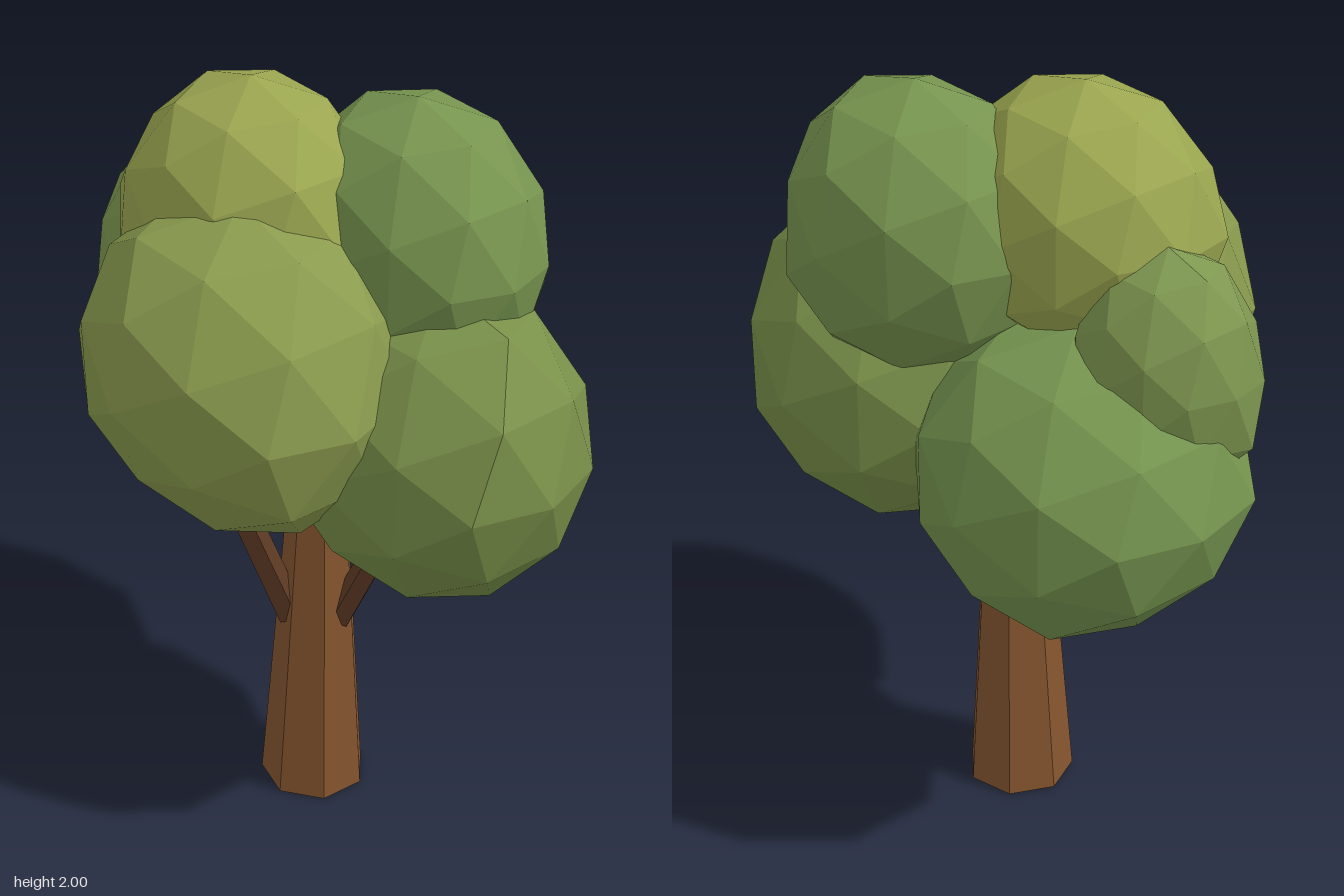
import * as THREE from 'three';

const UP = new THREE.Vector3(0, 1, 0);

function mat(color) {
  return new THREE.MeshStandardMaterial({ color, flatShading: true });
}

// Tapered, faceted limb running from one point to another
function limb(name, from, to, r0, r1, sides, material) {
  const a = new THREE.Vector3(...from);
  const dir = new THREE.Vector3(...to).sub(a);
  const length = dir.length();
  const geo = new THREE.CylinderGeometry(r1, r0, length, sides, 1, false, 0.2);
  geo.translate(0, length / 2, 0);
  const mesh = new THREE.Mesh(geo, material);
  mesh.quaternion.setFromUnitVectors(UP, dir.normalize());
  mesh.position.copy(a);
  mesh.name = name;
  return mesh;
}

// Faceted clump of leaves; each bulge [x, y, z, amount] pushes one side out or in
function clump(name, centre, radii, color, bulges) {
  const geo = new THREE.IcosahedronGeometry(1, 1);
  const pos = geo.attributes.position;
  const size = new THREE.Vector3(...radii);
  for (let i = 0; i < pos.count; i++) {
    const unit = new THREE.Vector3().fromBufferAttribute(pos, i);
    const p = unit.clone().multiply(size);
    for (const [x, y, z, amount] of bulges) {
      const dir = new THREE.Vector3(x, y, z).normalize();
      p.addScaledVector(dir, amount * Math.max(0, unit.dot(dir)) ** 5);
    }
    pos.setXYZ(i, p.x, p.y, p.z);
  }
  geo.computeVertexNormals();
  const mesh = new THREE.Mesh(geo, mat(color));
  mesh.position.set(...centre);
  mesh.name = name;
  return mesh;
}

export function createModel() {
  const tree = new THREE.Group();
  tree.name = 'tree';

  // Trunk and its three branches
  const bark = mat(0x85552f);
  const branchBark = mat(0x5f3c25);
  tree.add(
    limb('trunk', [0, 0, -0.077], [0.014, 0.855, -0.077], 0.139, 0.08, 7, bark),
    limb('frontBranch', [-0.018, 0.53, -0.01], [-0.04, 1.05, 0.19], 0.04, 0.036, 5, branchBark),
    limb('rightBranch', [-0.06, 0.53, -0.1], [-0.21, 0.92, -0.18], 0.037, 0.035, 5, branchBark),
    limb('leftBranch', [0.075, 0.53, -0.1], [0.25, 0.94, -0.16], 0.037, 0.035, 5, branchBark)
  );

  // Crown of overlapping clumps
  const crown = new THREE.Group();
  crown.name = 'crown';
  crown.add(
    clump('frontClump', [0.02, 1.355, 0.165], [0.425, 0.435, 0.405], 0x8a9b4e,
      [[0, -0.7, 0.7, -0.04], [-0.9, 0, 0.4, 0.025], [0.9, 0, 0.4, 0.025],
        [-0.5, 0, 0.85, -0.025], [0.5, 0, 0.85, -0.025]]),
    clump('leftClump', [0.305, 1.16, -0.2], [0.415, 0.4, 0.37], 0x7a914a,
      [[0.55, 0.83, 0, 0.04], [0.85, 0.45, 0.2, 0.035], [0.8, 0, 0.6, 0.015], [0.3, -0.9, 0, 0.02]]),
    clump('rightClump', [-0.31, 1.1, -0.17], [0.42, 0.385, 0.38], 0x75944f,
      [[-0.7, 0, 0.7, 0.035], [0, -0.9, -0.4, 0.03]]),
    clump('topClump', [-0.15, 1.66, 0], [0.325, 0.34, 0.295], 0x9ba650,
      [[-0.7, -0.25, 0.6, 0.04], [0.9, 0.3, 0, 0.035]]),
    clump('backClump', [0.15, 1.615, -0.26], [0.355, 0.365, 0.285], 0x77944f,
      [[0.3, -0.6, -0.8, 0.04], [0, 0.5, -0.9, 0.025]]),
    clump('smallClump', [-0.46, 1.4, -0.03], [0.225, 0.3, 0.22], 0x7e9750,
      [[-0.6, -0.6, 0.5, 0.05], [-0.7, 0.6, 0, 0.015]])
  );
  tree.add(crown);

  return tree;
}
